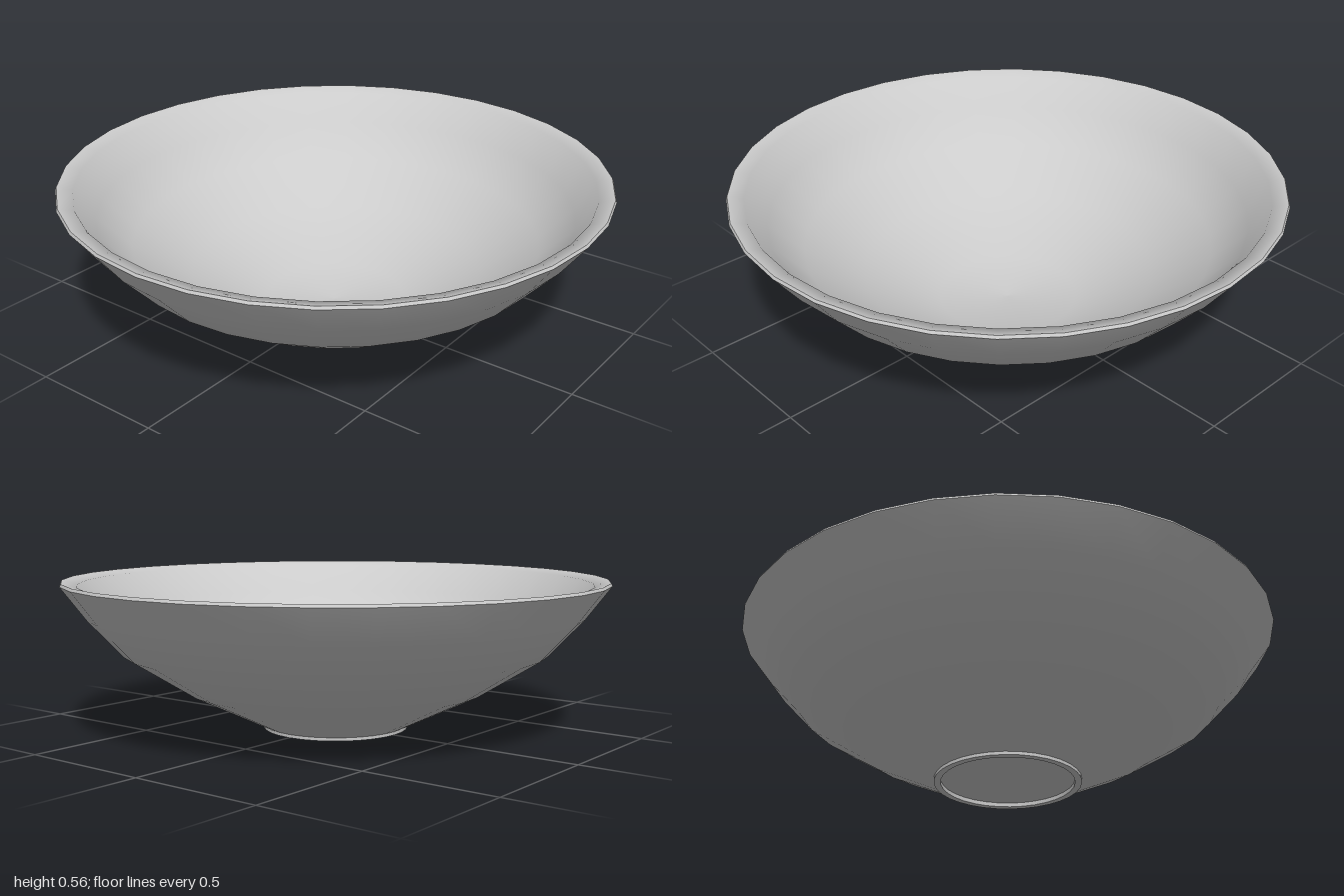
import * as THREE from 'three';

const SEGMENTS = 32;

export function createModel() {
  const bowl = new THREE.Group();
  bowl.name = 'bowl';
  const material = new THREE.MeshStandardMaterial({ color: 0xcccccc });

  // Each surface is its own lathe so the edges between them stay sharp.
  // Profiles run from the underside centre, out and up, over the rim and back in.
  const addLathe = (name, profile) => {
    const points = profile.map(([r, y]) => new THREE.Vector2(r, y));
    const mesh = new THREE.Mesh(new THREE.LatheGeometry(points, SEGMENTS), material);
    mesh.name = name;
    bowl.add(mesh);
  };

  // Recessed underside and foot ring
  addLathe('underside', [[0, 0.015], [0.245, 0.015]]);
  addLathe('footInnerWall', [[0.245, 0.015], [0.245, 0]]);
  addLathe('footBottom', [[0.245, 0], [0.27, 0]]);
  addLathe('footOuterWall', [[0.27, 0], [0.27, 0.012]]);

  // Flaring outside wall
  addLathe('outerWall', [[0.27, 0.012], [0.56, 0.153], [0.785, 0.295], [0.91, 0.43], [1, 0.55]]);

  // Thin rim edge
  addLathe('rimEdge', [[1, 0.55], [0.995, 0.56]]);

  // Rim top flowing smoothly into the hollow
  addLathe('inside', [
    [0.995, 0.56], [0.94, 0.545], [0.87, 0.435], [0.75, 0.315],
    [0.54, 0.18], [0.26, 0.05], [0, 0.035],
  ]);

  return bowl;
}
